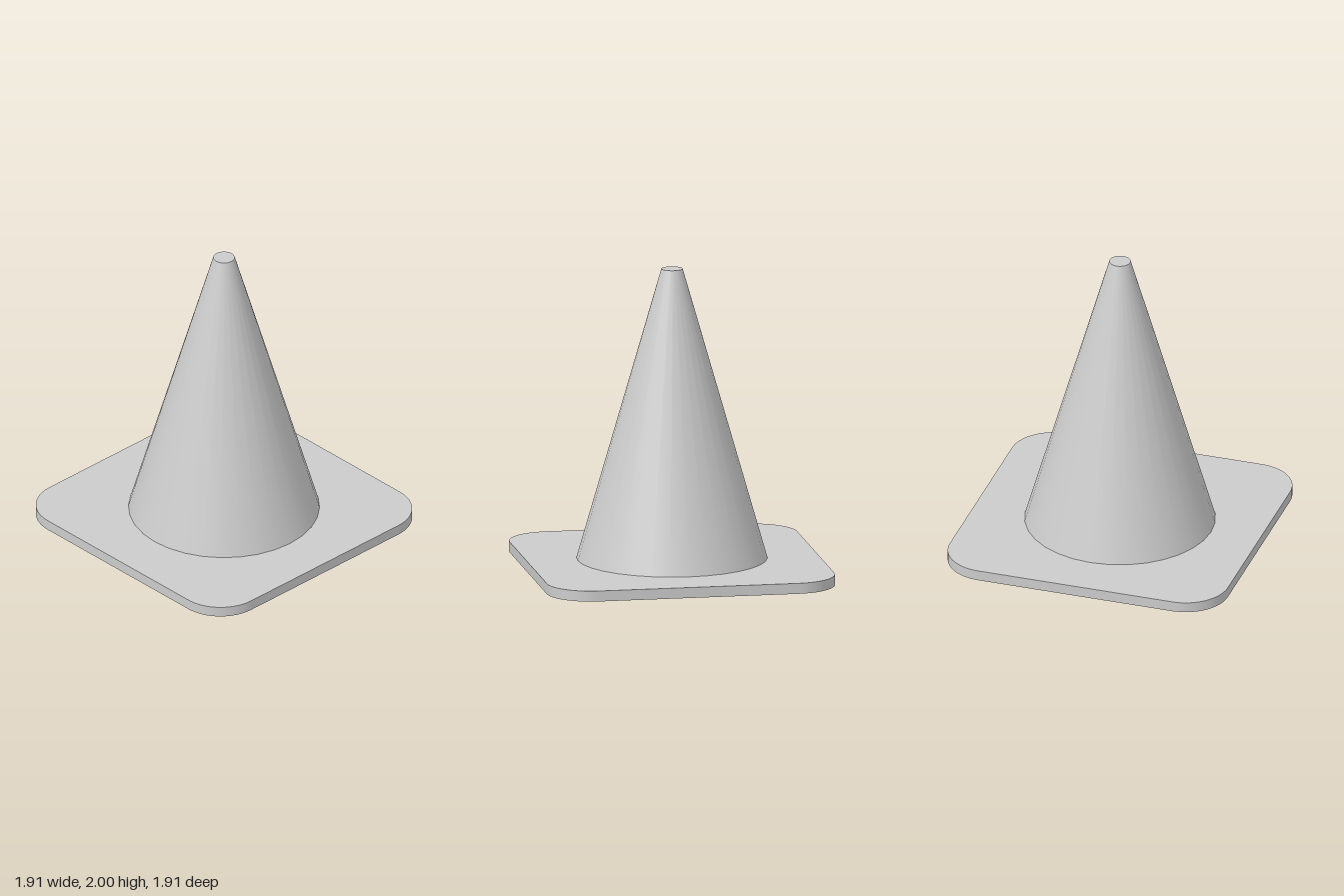
import * as THREE from 'three';
import { toCreasedNormals } from 'three/addons/utils/BufferGeometryUtils.js';

const BASE_HALF = 0.955, CORNER = 0.29, BASE_HEIGHT = 0.07;
const CONE_BOTTOM = 0.625, CONE_TOP = 0.07, TOTAL_HEIGHT = 2;

// Square outline with rounded corners, drawn counter-clockwise
function roundedSquare(half, radius) {
  const shape = new THREE.Shape();
  const c = half - radius;
  const centres = [[c, c], [-c, c], [-c, -c], [c, -c]];
  centres.forEach(([x, y], i) => {
    shape.absarc(x, y, radius, i * Math.PI / 2, (i + 1) * Math.PI / 2, false);
  });
  shape.closePath();
  return shape;
}

export function createModel() {
  const group = new THREE.Group();
  group.name = 'trafficCone';
  const material = new THREE.MeshStandardMaterial({ color: 0xcccccc });

  // Flat base plate, smooth around its corners and sharp at its rims
  const plate = new THREE.ExtrudeGeometry(roundedSquare(BASE_HALF, CORNER), {
    depth: BASE_HEIGHT, bevelEnabled: false, curveSegments: 10,
  });
  plate.rotateX(-Math.PI / 2);
  const base = new THREE.Mesh(toCreasedNormals(plate, Math.PI / 6), material);
  base.name = 'base';
  group.add(base);

  // Tapered body with a flat closed tip
  const height = TOTAL_HEIGHT - BASE_HEIGHT;
  const cone = new THREE.Mesh(
    new THREE.CylinderGeometry(CONE_TOP, CONE_BOTTOM, height, 32), material);
  cone.name = 'cone';
  cone.position.y = BASE_HEIGHT + height / 2;
  group.add(cone);

  return group;
}
